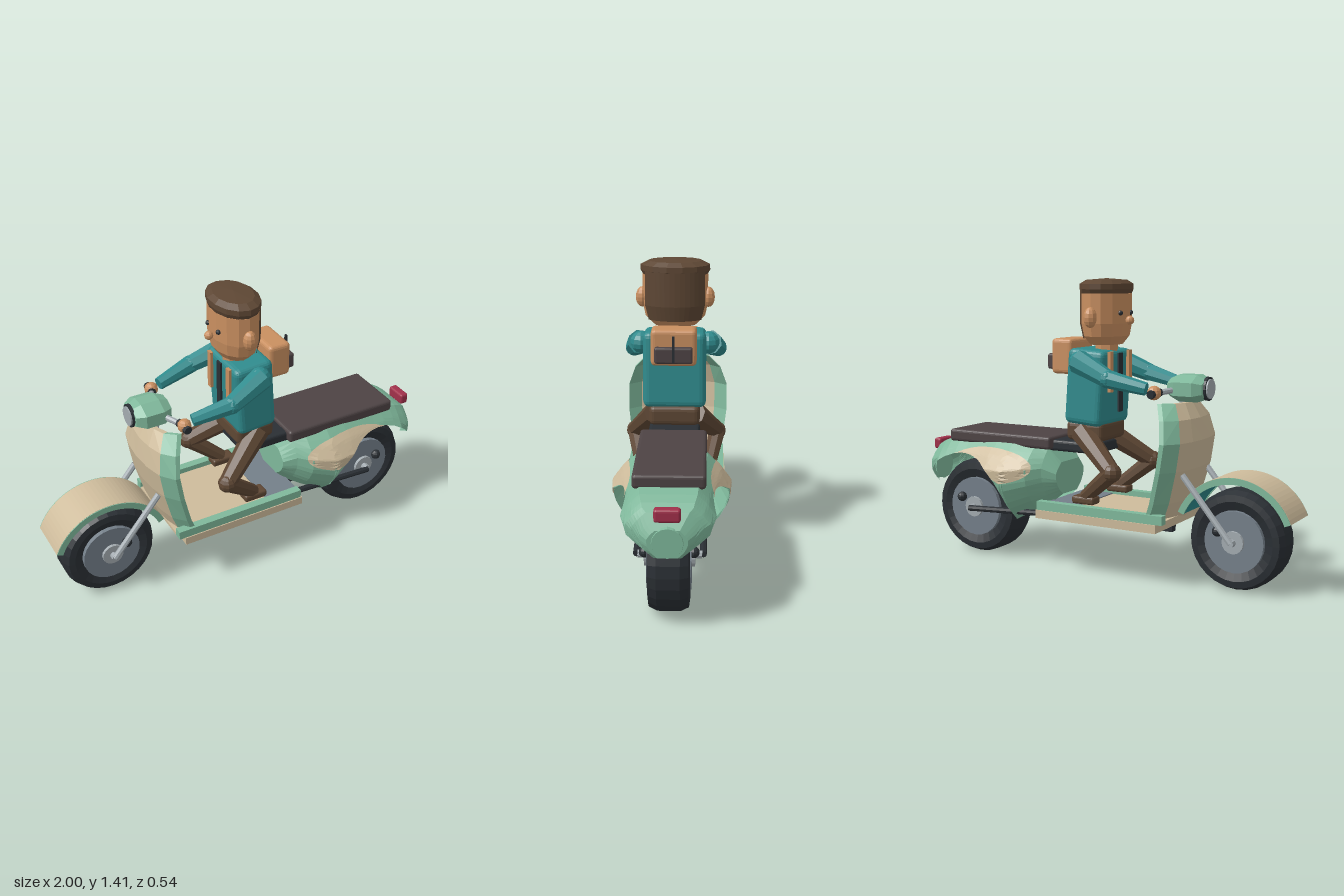
import * as THREE from 'three';
import { RoundedBoxGeometry } from 'three/addons/geometries/RoundedBoxGeometry.js';

const V = (x, y, z) => new THREE.Vector3(x, y, z);

function material(name, color) {
  const m = new THREE.MeshStandardMaterial({ color, flatShading: true, side: THREE.DoubleSide });
  m.name = name;
  return m;
}

// Piecewise linear lookup in a list of [key, value] pairs
function lookup(table, k) {
  if (k <= table[0][0]) return table[0][1];
  for (let i = 1; i < table.length; i++) {
    const [a, va] = table[i - 1], [b, vb] = table[i];
    if (k <= b) return va + (vb - va) * (k - a) / (b - a);
  }
  return table[table.length - 1][1];
}

// Skin a row of cross-sections; caps join mirrored points of each end section
function loft(rings, closed = true, caps = true) {
  const n = rings[0].length, idx = [];
  for (let i = 0; i < rings.length - 1; i++)
    for (let j = 0; j < (closed ? n : n - 1); j++) {
      const a = i * n + j, b = i * n + (j + 1) % n;
      idx.push(a, b, a + n, b, b + n, a + n);
    }
  if (caps) for (const o of [0, (rings.length - 1) * n])
    for (let j = 0; j < Math.floor(n / 2) - 1; j++) {
      const a = o + j, b = o + n - 1 - j;
      idx.push(a, a + 1, b, a + 1, b - 1, b);
    }
  const g = new THREE.BufferGeometry().setFromPoints(rings.flat());
  g.setIndex(idx);
  g.computeVertexNormals();
  return g;
}

export function createModel() {
  const root = new THREE.Group();
  root.name = 'scooterAndRider';
  const green = material('mint paint', 0x7fb89b), cream = material('cream paint', 0xcdbb9b);
  const teal = material('teal cloth', 0x2f8b8d), brown = material('brown', 0x5e4734);
  const dark = material('seat leather', 0x4d4344), black = material('rubber', 0x2a2f34);
  const grey = material('grey metal', 0x747f89), silver = material('silver', 0xa3abb0);
  const red = material('red lamp', 0xa0304a), skin = material('tan', 0xc98f60);

  const add = (name, geo, mat, x = 0, y = 0, z = 0) => {
    const m = new THREE.Mesh(geo, mat);
    m.name = name;
    m.position.set(x, y, z);
    root.add(m);
    return m;
  };
  // Box given by its limits on each axis
  const box = (name, mat, x0, x1, y0, y1, z0, z1, r = 0) => {
    const s = [x1 - x0, y1 - y0, z1 - z0];
    return add(name, r ? new RoundedBoxGeometry(...s, 2, r) : new THREE.BoxGeometry(...s),
      mat, (x0 + x1) / 2, (y0 + y1) / 2, (z0 + z1) / 2);
  };
  // Tapered rod between two points
  const rod = (name, mat, a, b, ra, rb = ra, sides = 8) => {
    const d = b.clone().sub(a);
    const m = add(name, new THREE.CylinderGeometry(rb, ra, d.length(), sides), mat);
    m.position.copy(a).addScaledVector(d, 0.5);
    m.quaternion.setFromUnitVectors(V(0, 1, 0), d.normalize());
    return m;
  };
  const ball = (name, mat, x, y, z, r) => add(name, new THREE.SphereGeometry(r, 10, 8), mat, x, y, z);

  // Wheels
  const wheel = (name, x, y, r) => {
    const w = 0.09;
    const p = [[r * 0.6, -w * 0.8], [r * 0.8, -w], [r * 0.93, -w * 0.95], [r, -w * 0.55], [r, w * 0.55],
      [r * 0.93, w * 0.95], [r * 0.8, w], [r * 0.6, w * 0.8]].map(q => new THREE.Vector2(...q));
    add(name + 'Tyre', new THREE.LatheGeometry(p, 28), black, x, y).rotation.x = Math.PI / 2;
    rod(name + 'Disc', grey, V(x, y, -0.095), V(x, y, 0.095), r * 0.62, r * 0.62, 24);
    rod(name + 'Hub', silver, V(x, y, -0.11), V(x, y, 0.11), 0.052, 0.052, 16);
    rod(name + 'Axle', silver, V(x, y, -0.14), V(x, y, 0.14), 0.018);
    for (const s of [-1, 1]) ball(name + 'Valve', black, x + 0.075, y + 0.045, s * 0.105, 0.025);
  };
  wheel('frontWheel', -0.728, 0.24, 0.23);
  wheel('rearWheel', 0.705, 0.247, 0.242);

  // Front mudguard: cream top, mint rims, teal lining
  const arc = (name, mat, r0, r1, z0, z1) => {
    const a = 0.39, s = new THREE.Shape();
    s.absarc(0, 0, r1, a, Math.PI - a, false);
    s.absarc(0, 0, r0, Math.PI - a, a, true);
    add(name, new THREE.ExtrudeGeometry(s, { depth: z1 - z0, bevelEnabled: false, curveSegments: 16 }),
      mat, -0.73, 0.243, z0);
  };
  arc('mudguardTop', cream, 0.275, 0.293, -0.11, 0.11);
  arc('mudguardLining', teal, 0.266, 0.275, -0.105, 0.105);
  for (const s of [-1, 1]) arc('mudguardRim', green, 0.262, 0.292, s * 0.11 - 0.004, s * 0.11 + 0.004);

  // Leg shield: stations of [y, front x, half width], in three strips
  const shield = [[0.31, -0.44, 0.22], [0.4, -0.475, 0.235], [0.55, -0.515, 0.255],
    [0.68, -0.535, 0.255], [0.78, -0.515, 0.22], [0.85, -0.475, 0.16]];
  const bend = [[0, 0], [0.4, 0.008], [0.75, 0.03], [1, 0.08]];
  const strip = (name, mat, ks) => add(name, loft(shield.map(([y, x, w]) => {
    const p = (k, o) => V(x + lookup(bend, Math.abs(k)) + o, y, k * w);
    return [...ks.map(k => p(k, 0)), ...ks.slice().reverse().map(k => p(k, 0.022))];
  })), mat);
  strip('shieldCentre', cream, [-0.75, -0.4, 0, 0.4, 0.75]);
  for (const s of [-1, 1]) strip('shieldEdge', green, [s * 0.75, s]);
  rod('steeringColumn', silver, V(-0.47, 0.5, 0), V(-0.42, 0.87, 0), 0.016);
  for (const s of [-1, 1]) {
    ball('shieldKnob', silver, -0.47, 0.6, s * 0.1, 0.018);
    rod('forkLeg', silver, V(-0.73, 0.24, s * 0.135), V(-0.49, 0.53, s * 0.135), 0.015);
  }

  // Headset, headlamp and handlebar
  const headset = [[-0.55, 0.72], [-0.51, 1], [-0.42, 1], [-0.375, 0.7]].map(([x, k]) =>
    [[-0.35, -1], [-1, -0.5], [-1, 0.5], [-0.35, 1], [0.35, 1], [1, 0.5], [1, -0.5], [0.35, -1]]
      .map(([z, y]) => V(x, 0.913 + y * 0.062 * k, z * 0.095 * k)));
  add('headset', loft(headset), green);
  rod('lampRim', black, V(-0.545, 0.913, 0), V(-0.56, 0.913, 0), 0.055, 0.055, 16);
  rod('lampGlass', silver, V(-0.558, 0.913, 0), V(-0.567, 0.913, 0), 0.046, 0.046, 16);
  for (const s of [-1, 1]) {
    rod('handlebar', silver, V(-0.43, 0.91, s * 0.05), V(-0.37, 0.898, s * 0.16), 0.014);
    rod('grip', black, V(-0.375, 0.9, s * 0.14), V(-0.365, 0.895, s * 0.215), 0.02);
  }

  // Floor
  box('floor', cream, -0.41, 0.235, 0.27, 0.31, -0.245, 0.245);
  box('floorBoard', cream, -0.44, 0.22, 0.31, 0.325, -0.2, 0.2);
  box('floorMat', grey, 0.06, 0.235, 0.32, 0.33, -0.2, 0.2);
  for (const s of [-1, 1]) {
    box('floorRail', green, -0.44, 0.23, 0.31, 0.352, s * 0.22 - 0.02, s * 0.22 + 0.02);
    rod('rearSwingRod', black, V(0.26, 0.27, s * 0.145), V(0.705, 0.247, s * 0.145), 0.015);
  }
  box('underframeBar', black, -0.385, 0.4, 0.228, 0.258, -0.02, 0.02);

  // Rear body shell with wheel arch
  const topY = [[0.19, 0.52], [0.25, 0.59], [0.42, 0.605], [0.8, 0.605], [0.88, 0.58], [0.94, 0.54], [0.985, 0.48]];
  const lowY = [[0.19, 0.36], [0.25, 0.31], [0.42, 0.22], [0.6, 0.2], [0.8, 0.25], [0.92, 0.33], [0.985, 0.36]];
  const halfW = [[0.19, 0.13], [0.25, 0.17], [0.31, 0.225], [0.42, 0.265], [0.52, 0.258], [0.7, 0.222],
    [0.86, 0.2], [0.92, 0.175], [0.985, 0.085]];
  const bulge = [[0, 0.5], [0.2, 0.8], [0.45, 0.98], [0.68, 1], [0.85, 0.82], [1, 0.6]];
  const bottom = x => {
    const d = 0.28 ** 2 - (x - 0.7) ** 2;
    return Math.max(lookup(lowY, x), d > 0 ? 0.26 + Math.sqrt(d) : 0);
  };
  const sideZ = (x, y) => {
    const lo = lookup(lowY, x);
    return lookup(halfW, x) * lookup(bulge, (y - lo) / (lookup(topY, x) - lo));
  };
  const stations = [0.19, 0.25, 0.31, 0.365, 0.419, 0.423, 0.44, 0.47, 0.52, 0.58, 0.64, 0.7, 0.76, 0.82,
    0.86, 0.9, 0.92, 0.94, 0.965, 0.985];
  const rows = 12;
  add('rearBody', loft(stations.map(x => {
    const half = [], b = bottom(x), t = lookup(topY, x);
    for (let i = 0; i <= rows; i++) {
      const y = b + (t - b) * i / rows;
      half.push(V(x, y, sideZ(x, y)));
    }
    return [...half, ...half.slice().reverse().map(p => V(p.x, p.y, -p.z))];
  }), false), green);
  rod('tailCap', green, V(0.975, 0.425, 0), V(0.99, 0.425, 0), 0.07, 0.065, 16);

  // Cream oval on each flank, following the shell
  for (const s of [-1, 1]) {
    const rings = [];
    for (let k = 0; k <= 6; k++) {
      const ring = [];
      for (let i = 0; i < 32; i++) {
        const a = i / 32 * Math.PI * 2, x = 0.53 + Math.cos(a) * 0.245 * k / 6;
        const y = Math.max(0.495 + Math.sin(a) * 0.085 * k / 6, bottom(x));
        ring.push(V(x, y + 0.001, s * (sideZ(x, y) + 0.005)));
      }
      rings.push(ring);
    }
    add('flankOval', loft(rings, true, false), cream);
  }
  box('tailLamp', red, 0.955, 1, 0.518, 0.575, -0.055, 0.055, 0.012);
  box('seat', dark, 0.21, 0.815, 0.588, 0.65, -0.155, 0.155, 0.015);
  box('frontSeat', black, -0.03, 0.24, 0.58, 0.635, -0.12, 0.12, 0.015);

  // Rider: torso, pelvis, straps
  box('torso', teal, -0.075, 0.125, 0.72, 1.08, -0.148, 0.148, 0.03).rotation.z = 0.07;
  box('pelvis', brown, -0.06, 0.14, 0.64, 0.735, -0.12, 0.12, 0.025);
  box('tie', black, -0.098, -0.088, 0.78, 1.06, -0.018, 0.018);
  for (const s of [-1, 1]) {
    box('packStrap', skin, -0.1, -0.085, 0.88, 1.07, s * 0.09 - 0.015, s * 0.09 + 0.015);
    // Limbs
    const knee = V(-0.165, 0.52, s * 0.205), foot = V(0.0, 0.385, s * 0.165);
    rod('thigh', brown, V(0.06, 0.68, s * 0.09), knee, 0.06, 0.042);
    ball('knee', brown, knee.x, knee.y, knee.z, 0.045);
    rod('shin', brown, knee, foot, 0.042, 0.033);
    box('shoe', brown, -0.06, 0.06, 0.352, 0.39, s * 0.165 - 0.035, s * 0.165 + 0.035, 0.012);
    const elbow = V(-0.14, 0.955, s * 0.205);
    ball('shoulder', teal, 0.03, 1.02, s * 0.16, 0.055);
    rod('upperArm', teal, V(0.04, 1.025, s * 0.165), elbow, 0.058, 0.043);
    ball('elbow', teal, elbow.x, elbow.y, elbow.z, 0.043);
    rod('forearm', teal, elbow, V(-0.325, 0.915, s * 0.175), 0.043, 0.03);
    ball('hand', skin, -0.365, 0.9, s * 0.175, 0.033);
    ball('ear', skin, -0.02, 1.23, s * 0.155, 0.036).scale.set(0.9, 1.35, 0.9);
  }

  // Backpack
  box('backpack', skin, 0.115, 0.23, 0.955, 1.125, -0.105, 0.105, 0.02);
  box('packPocket', dark, 0.225, 0.262, 0.975, 1.05, -0.087, 0.087, 0.01);
  box('packClasp', black, 0.26, 0.27, 0.985, 1.105, -0.006, 0.006);

  // Head and hair
  rod('neck', skin, V(-0.02, 1.06, 0), V(-0.02, 1.13, 0), 0.055);
  const turned = (name, mat, pts, start = 0, len = Math.PI * 2) =>
    add(name, new THREE.LatheGeometry(pts.map(p => new THREE.Vector2(...p)), 14, start, len), mat, -0.02)
      .scale.set(0.7, 1, 1);
  turned('head', skin, [[0, 1.1], [0.1, 1.1], [0.14, 1.14], [0.154, 1.2], [0.154, 1.34], [0, 1.36]]);
  turned('hairTop', brown, [[0.15, 1.335], [0.163, 1.36], [0.162, 1.385], [0.125, 1.403], [0, 1.411]]);
  turned('hairBack', brown, [[0.142, 1.13], [0.161, 1.2], [0.161, 1.36]], Math.PI / 2 - 1.05, 2.1);
  ball('nose', skin, -0.145, 1.215, 0, 0.021);
  for (const s of [-1, 1]) ball('eye', black, -0.122, 1.25, s * 0.05, 0.012);
  return root;
}
